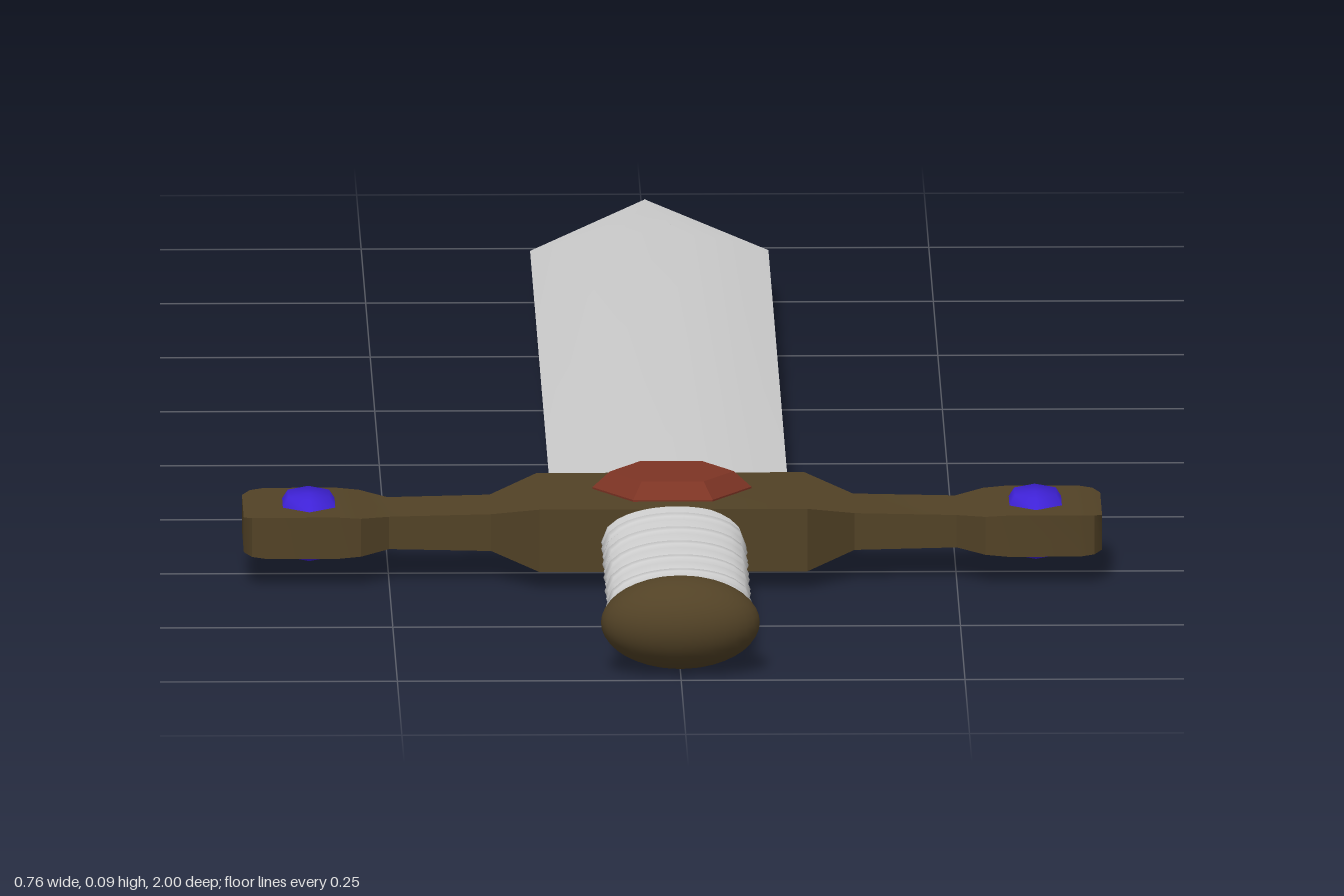
import * as THREE from 'three';
import { toCreasedNormals } from 'three/addons/utils/BufferGeometryUtils.js';

const MID = 0.045; // height of the sword's middle plane
const material = (color) => new THREE.MeshStandardMaterial({ color });
const steel = material(0xcccccc);
const bronze = material(0x524226);
const red = material(0x7d3424);
const blue = material(0x3f22d8);

// Skins closed rings of [x, y, z] points, counter-clockwise about the travel direction
function loft(rings, crease) {
  const n = rings[0].length;
  const positions = rings.flat(2);
  const index = [];
  for (let r = 0; r < rings.length - 1; r++) {
    for (let i = 0; i < n; i++) {
      const j = (i + 1) % n;
      const a = r * n + i, b = r * n + j;
      index.push(a, b, b + n, a, b + n, a + n);
    }
  }
  const last = (rings.length - 1) * n;
  for (let i = 1; i < n - 1; i++) {
    index.push(0, i + 1, i, last, last + i, last + i + 1);
  }
  const geometry = new THREE.BufferGeometry();
  geometry.setAttribute('position', new THREE.Float32BufferAttribute(positions, 3));
  geometry.setIndex(index);
  return toCreasedNormals(geometry, crease);
}

// Six-sided double-faced gem that passes right through the guard
function gemGeometry(rim, half, bevel, phiStart) {
  const points = [
    [0, -half], [rim * 0.78, -half], [rim, -half + bevel],
    [rim, half - bevel], [rim * 0.78, half], [0, half],
  ].map(([x, y]) => new THREE.Vector2(x, y));
  return toCreasedNormals(new THREE.LatheGeometry(points, 6, phiStart), 0.2);
}

export function createModel() {
  const sword = new THREE.Group();
  sword.name = 'sword';
  const add = (name, geometry, mat, x = 0, z = 0) => {
    const mesh = new THREE.Mesh(geometry, mat);
    mesh.name = name;
    mesh.position.set(x, MID, z);
    sword.add(mesh);
    return mesh;
  };

  // Blade: lens-shaped section, tapering to a point
  const STEPS = 8;
  const bladeRing = ([z, width, thick]) => {
    const ring = [];
    for (let i = 0; i < STEPS * 2; i++) {
      const t = i < STEPS ? 1 - (2 * i) / STEPS : -1 + (2 * (i - STEPS)) / STEPS;
      const y = thick * (1 - t * t) * (i < STEPS ? 1 : -1);
      ring.push([width * t, y, z]);
    }
    return ring;
  };
  const bladeSections = [[-1, 0.0005, 0.0005], [-0.765, 0.105, 0.016], [0.43, 0.105, 0.016]];
  add('blade', loft(bladeSections.map(bladeRing), 0.35), steel);

  // Crossguard: rectangular sections [x, back z, front z, half height], mirrored
  const half = [
    [0.118, 0.407, 0.577, 0.028],
    [0.16, 0.447, 0.538, 0.0165],
    [0.25, 0.447, 0.538, 0.0145],
    [0.275, 0.425, 0.56, 0.017],
    [0.295, 0.423, 0.562, 0.0185],
    [0.358, 0.423, 0.562, 0.0185],
    [0.371, 0.428, 0.557, 0.0175],
    [0.378, 0.44, 0.545, 0.0155],
  ];
  const mirrored = half.map(([x, ...rest]) => [-x, ...rest]).reverse();
  const guardRings = [...mirrored, ...half].map(([x, z0, z1, h]) =>
    [[x, -h, z0], [x, h, z0], [x, h, z1], [x, -h, z1]]);
  add('crossguard', loft(guardRings, 0.6), bronze);

  // Gems
  add('centreGem', gemGeometry(0.07, 0.0435, 0.014, Math.PI / 2), red, 0, 0.481);
  for (const side of [-1, 1]) {
    const gem = add(side > 0 ? 'leftGem' : 'rightGem',
      gemGeometry(1, 0.027, 0.009, 0), blue, side * 0.32, 0.493);
    gem.scale.set(0.027, 1, 0.045);
  }

  // Oval grip core
  const core = new THREE.CylinderGeometry(1, 1, 0.4, 32).rotateX(Math.PI / 2);
  core.scale(0.055, 0.022, 1);
  add('gripCore', core, bronze, 0, 0.745);

  // Wire wound round the grip as an oval helix
  const TURNS = 11;
  const wirePoints = [];
  for (let i = 0; i <= TURNS * 20; i++) {
    const a = (i / 20) * Math.PI * 2;
    wirePoints.push(new THREE.Vector3(
      0.053 * Math.cos(a), 0.02 * Math.sin(a), 0.57 + (0.355 * i) / (TURNS * 20)));
  }
  const wirePath = new THREE.CatmullRomCurve3(wirePoints);
  add('gripWire', new THREE.TubeGeometry(wirePath, TURNS * 32, 0.0115, 8), steel);

  // Pommel
  const pommel = new THREE.SphereGeometry(1, 32, 20).scale(0.07, 0.041, 0.045);
  add('pommel', pommel, bronze, 0, 0.955);

  return sword;
}
